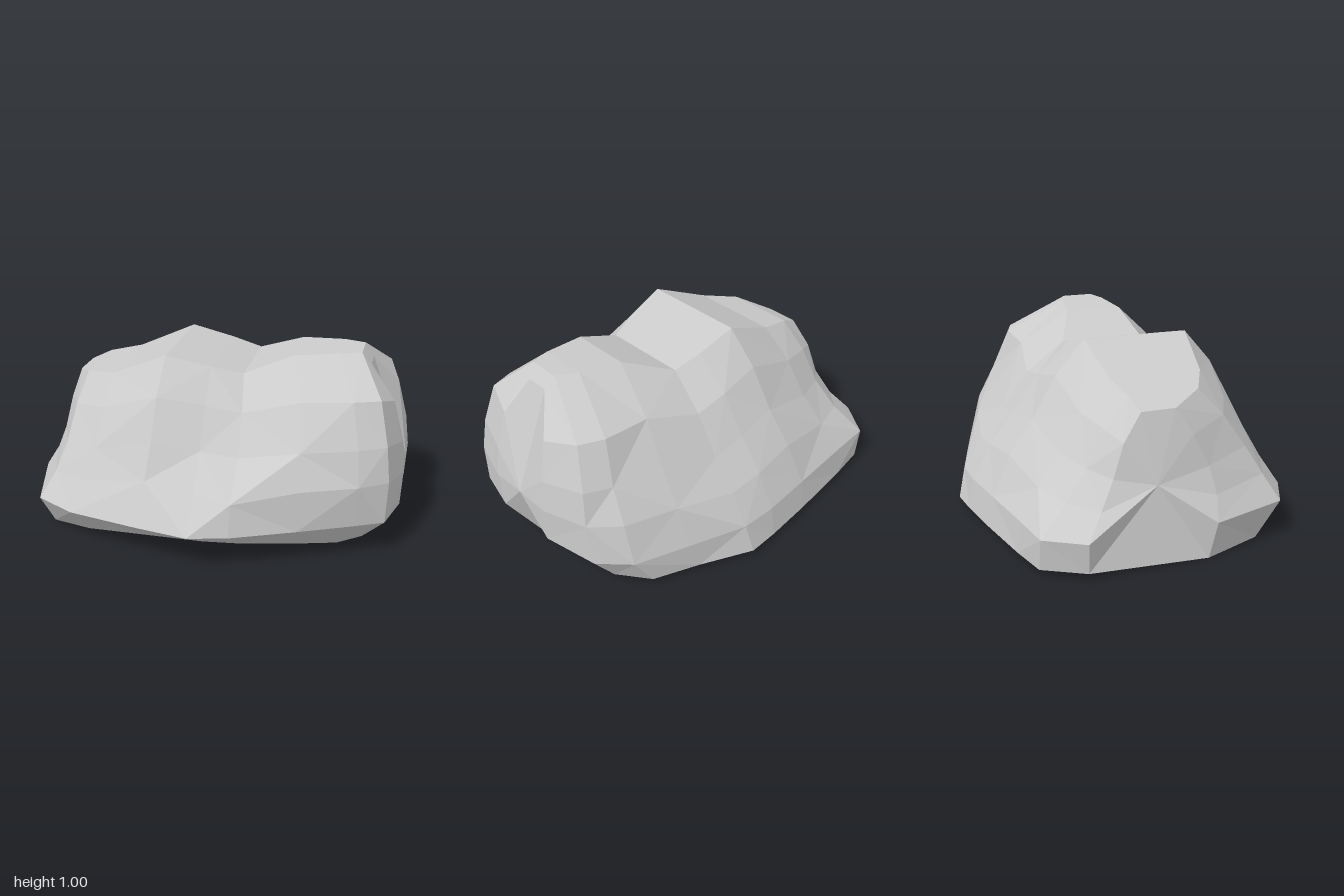
import * as THREE from 'three';

// Slices from the left-hand end (-x) to the other: along, crest height,
// front z from the foot up to the crest, back z from the crest down to the foot.
const slices = [
  [-1.0, 0.74, [0.12, 0.15, 0.18, 0.16, 0.08, 0.0], [-0.18, -0.28, -0.34, -0.42, -0.51, -0.5]],
  [-0.87, 0.79, [0.45, 0.57, 0.5, 0.42, 0.3, 0.17], [-0.2, -0.33, -0.43, -0.55, -0.7, -0.7]],
  [-0.65, 0.83, [0.5, 0.69, 0.6, 0.52, 0.4, 0.27], [-0.22, -0.38, -0.5, -0.62, -0.72, -0.74]],
  [-0.28, 0.965, [0.5, 0.77, 0.66, 0.58, 0.48, 0.33], [-0.24, -0.4, -0.53, -0.66, -0.76, -0.79]],
  [0.0, 0.91, [0.5, 0.82, 0.68, 0.54, 0.42, 0.29], [-0.24, -0.42, -0.56, -0.69, -0.79, -0.82]],
  [0.2, 0.87, [0.48, 0.77, 0.74, 0.53, 0.4, 0.24], [-0.22, -0.42, -0.56, -0.69, -0.79, -0.83]],
  [0.52, 0.98, [0.42, 0.63, 0.62, 0.55, 0.42, 0.22], [-0.1, -0.36, -0.5, -0.62, -0.69, -0.71]],
  [0.8, 1.0, [0.35, 0.5, 0.52, 0.48, 0.4, 0.2], [-0.05, -0.36, -0.45, -0.54, -0.6, -0.62]],
  [0.94, 1.005, [0.25, 0.43, 0.43, 0.41, 0.36, 0.17], [0.0, -0.31, -0.39, -0.42, -0.46, -0.46]],
  [1.0, 0.94, [0.1, 0.2, 0.22, 0.22, 0.2, 0.14], [0.02, -0.12, -0.15, -0.16, -0.16, -0.1]],
];

// How far each level, foot to crest, reaches toward either end
const reachLeft = [0.97, 1.0, 0.92, 0.87, 0.85, 0.82];
const reachRight = [0.86, 0.99, 1.0, 0.98, 0.93, 0.8];

function levelHeight(level, crest, isFront) {
  const foot = isFront ? 0.01 : 0.04;
  return [foot, 0.2, 0.42 * crest, 0.6 * crest, 0.82 * crest, crest][level];
}

function boulderGeometry() {
  const positions = [];
  const index = [];
  const n = 12;

  // Cross-section loops: up the front, over the crest, down the back
  for (const [along, crest, front, back] of slices) {
    [...front, ...back].forEach((z, j) => {
      const isFront = j < 6;
      const level = isFront ? j : 11 - j;
      const reach = (along < 0 ? reachLeft : reachRight)[level];
      positions.push(along * reach, levelHeight(level, crest, isFront), z);
    });
  }

  // Skin between neighbouring loops, underside included
  for (let i = 0; i < slices.length - 1; i++) {
    for (let j = 0; j < n; j++) {
      const k = (j + 1) % n;
      const a = i * n + j, b = a + n, d = i * n + k, c = d + n;
      if ((i + j) % 2) index.push(a, b, c, a, c, d);
      else index.push(a, b, d, b, c, d);
    }
  }

  // Closed ends, each fanned from a centre point
  const last = (slices.length - 1) * n;
  const centre = positions.length / 3;
  positions.push(-0.91, 0.4, -0.13, 1.0, 0.4, 0.03);
  for (let j = 0; j < n; j++) {
    const k = (j + 1) % n;
    index.push(centre, j, k, centre + 1, last + k, last + j);
  }

  const geometry = new THREE.BufferGeometry();
  geometry.setAttribute('position', new THREE.Float32BufferAttribute(positions, 3));
  geometry.setIndex(index);
  const faceted = geometry.toNonIndexed();
  faceted.computeVertexNormals();
  return faceted;
}

export function createModel() {
  const group = new THREE.Group();
  group.name = 'rock';
  const material = new THREE.MeshStandardMaterial({ color: 0xcccccc, flatShading: true });
  const boulder = new THREE.Mesh(boulderGeometry(), material);
  boulder.name = 'boulder';
  group.add(boulder);
  return group;
}
